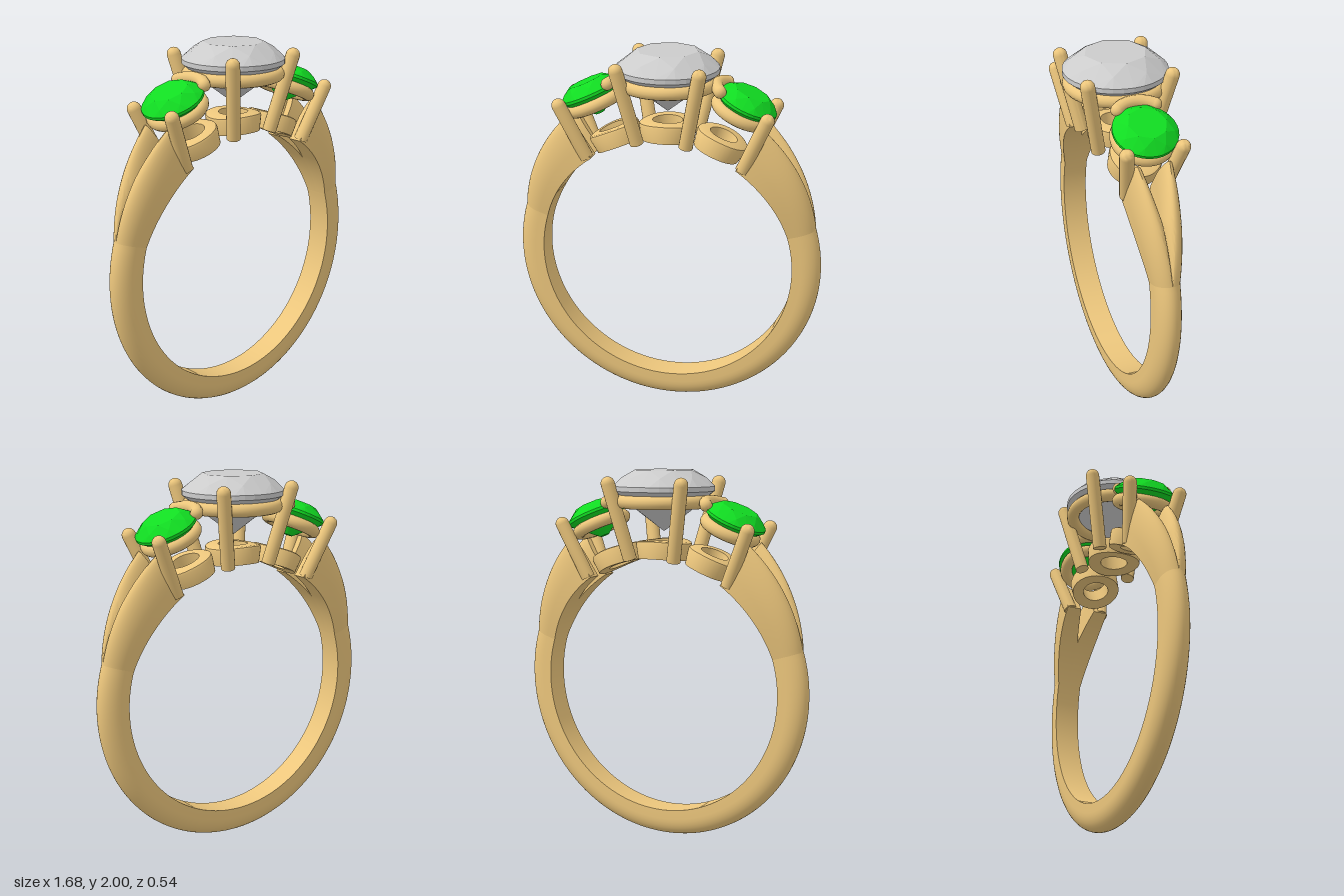
import * as THREE from 'three';
import { toCreasedNormals } from 'three/addons/utils/BufferGeometryUtils.js';
import { ConvexGeometry } from 'three/addons/geometries/ConvexGeometry.js';

const CY = 0.842, R_IN = 0.695, R_OUT = 0.842, HALF_W = 0.068;
const rad = THREE.MathUtils.degToRad, lerp = THREE.MathUtils.lerp;
const gold = new THREE.MeshStandardMaterial({ color: 0xecc67c });
const green = new THREE.MeshStandardMaterial({ color: 0x11dd22, flatShading: true });
const clear = new THREE.MeshStandardMaterial({ color: 0xcccccc, flatShading: true });

function add(parent, name, geometry, material = gold) {
  const mesh = new THREE.Mesh(geometry, material);
  mesh.name = name;
  parent.add(mesh);
  return mesh;
}

// Sweep a closed (radius, z) section around the finger hole, capped at both ends
function sweep(section, a0, a1, steps) {
  const pos = [], idx = [];
  let n = 0;
  for (let i = 0; i <= steps; i++) {
    const t = i / steps, a = lerp(a0, a1, t), loop = section(t);
    n = loop.length;
    const mid = loop.reduce((m, p) => [m[0] + p[0] / n, m[1] + p[1] / n], [0, 0]);
    for (const [r, z] of [...loop, mid]) pos.push(r * Math.cos(a), CY + r * Math.sin(a), z);
  }
  const w = n + 1;
  for (let j = 0; j < n; j++) {
    const k = (j + 1) % n, e = steps * w;
    for (let i = 0; i < steps; i++) {
      const p = i * w, q = p + w;
      idx.push(p + j, q + j, q + k, p + j, q + k, p + k);
    }
    idx.push(n, j, k, e + n, e + k, e + j);
  }
  const g = new THREE.BufferGeometry();
  g.setAttribute('position', new THREE.Float32BufferAttribute(pos, 3));
  g.setIndex(idx);
  return toCreasedNormals(g, rad(35));
}

// Flat inside, domed outside; the dome's crest sits at z = crest
function domeSection(z0, z1, crest, top, side0, side1) {
  const pts = [[R_IN, z1], [R_IN, z0]], N = 8;
  for (let i = 0; i <= N; i++) {
    const a = (i / N) * Math.PI / 2;
    pts.push([lerp(side0, top, Math.sin(a)), lerp(crest, z0, Math.cos(a))]);
  }
  for (let i = 1; i <= N; i++) {
    const a = (i / N) * Math.PI / 2;
    pts.push([lerp(side1, top, Math.cos(a)), lerp(crest, z1, Math.sin(a))]);
  }
  return pts;
}

// One of the two shoulder arms, widening and parting towards the top
function shoulderSection(t, s) {
  const z0 = Math.max(0, t - 0.55) * 0.09;
  const z1 = lerp(HALF_W, 0.122, Math.sin(t * Math.PI / 2));
  const crest = 0.083 * t, top = lerp(R_OUT, 0.95, t);
  const loop = domeSection(z0, z1, crest, top, lerp(R_OUT, 0.8, t), lerp(0.745, 0.78, t));
  return s > 0 ? loop : loop.map(([r, z]) => [r, -z]).reverse();
}

// Round-topped rod between two points
function prong(parent, name, from, to, r = 0.037) {
  const a = new THREE.Vector3(...from), d = new THREE.Vector3(...to).sub(a), len = d.length();
  const pts = [[0, 0], [r, 0], [r, len]].map(p => new THREE.Vector2(...p));
  for (let i = 1; i <= 6; i++) {
    const u = (i / 6) * Math.PI / 2;
    pts.push(new THREE.Vector2(i === 6 ? 0 : r * Math.cos(u), len + r * Math.sin(u)));
  }
  const mesh = add(parent, name, toCreasedNormals(new THREE.LatheGeometry(pts, 18), rad(40)));
  mesh.position.copy(a);
  mesh.quaternion.setFromUnitVectors(new THREE.Vector3(0, 1, 0), d.normalize());
}

// Round brilliant cut with its girdle at y = 0
function brilliant(r, crown, girdle, pavilion, culet) {
  const pts = [];
  const ring = (n, radius, y, shift = 0) => {
    for (let i = 0; i < n; i++) {
      const a = (i + shift) / n * Math.PI * 2;
      pts.push(new THREE.Vector3(radius * Math.sin(a), y, radius * Math.cos(a)));
    }
  };
  ring(8, r * 0.6, crown);
  ring(8, r * 0.84, crown * 0.52, 0.5);
  ring(32, r, 0);
  ring(32, r, -girdle);
  ring(8, r * 0.5, -girdle - pavilion * 0.53, 0.5);
  ring(8, culet, -girdle - pavilion);
  return new ConvexGeometry(pts);
}

// Pierced base disc bent to follow the finger hole, at an angle from the top
function baseDisc(outer, hole, angle) {
  const h0 = R_IN, h1 = 0.79, b = 0.015;
  const pts = [[hole, h1], [hole, h0], [outer, h0], [outer, h1 - b], [outer - b * 0.3, h1 - b * 0.3],
    [outer - b, h1], [hole, h1]].map(p => new THREE.Vector2(...p));
  const g = new THREE.LatheGeometry(pts, 40), p = g.attributes.position;
  for (let i = 0; i < p.count; i++) {
    const a = angle + p.getX(i) / 0.74, r = p.getY(i);
    p.setXYZ(i, r * Math.sin(a), CY + r * Math.cos(a), p.getZ(i));
  }
  return toCreasedNormals(g, rad(35));
}

const rail = (major, tube) => new THREE.TorusGeometry(major, tube, 14, 56).rotateX(Math.PI / 2);

function createSide() {
  const side = new THREE.Group();
  // Split shoulder
  for (const s of [1, -1])
    add(side, 'shoulderArm', sweep(t => shoulderSection(t, s), rad(17), rad(56), 28));
  add(side, 'sideBaseDisc', baseDisc(0.135, 0.072, rad(22.5)));
  for (const s of [1, -1])
    prong(side, 'sideProng', [0.42, 1.415, 0.095 * s], [0.55, 1.705, 0.145 * s]);

  // Tilted stone with its rail and the curved clip on its inner edge
  const head = new THREE.Group();
  head.name = 'sideSetting';
  head.position.set(0.422, 1.757, 0);
  head.rotation.z = rad(-24);
  side.add(head);
  add(head, 'sideStone', brilliant(0.165, 0.055, 0.015, 0.115, 0.025), green);
  add(head, 'sideRail', rail(0.132, 0.034)).position.set(-0.006, -0.068, 0);
  const clip = new THREE.Group();
  clip.name = 'innerClip';
  clip.position.set(-0.018, 0.012, 0);
  head.add(clip);
  const arc = rad(78), start = Math.PI - arc / 2;
  add(clip, 'clipBar', new THREE.TorusGeometry(0.16, 0.033, 12, 24, arc)
    .rotateZ(start).rotateX(Math.PI / 2));
  for (const a of [start, start + arc])
    add(clip, 'clipEnd', new THREE.SphereGeometry(0.033, 14, 10))
      .position.set(0.16 * Math.cos(a), 0, 0.16 * Math.sin(a));
  return side;
}

export function createModel() {
  const ring = new THREE.Group();
  ring.name = 'threeStoneRing';

  // Plain lower band
  const band = domeSection(-HALF_W, HALF_W, 0, R_OUT, 0.745, 0.745);
  add(ring, 'band', sweep(() => band, rad(-197), rad(17), 110));

  // Matching shoulders and side stones
  for (const [name, turn] of [['leftSide', 0], ['rightSide', Math.PI]]) {
    const side = createSide();
    side.name = name;
    side.rotation.y = turn;
    ring.add(side);
  }

  // Centre setting
  const centre = new THREE.Group();
  centre.name = 'centreSetting';
  ring.add(centre);
  add(centre, 'centreStone', brilliant(0.27, 0.085, 0.025, 0.212, 0.004), clear).position.y = 1.915;
  add(centre, 'centreRail', rail(0.235, 0.035)).position.y = 1.835;
  add(centre, 'centreBaseDisc', baseDisc(0.145, 0.075, 0));
  for (const x of [1, -1]) for (const z of [1, -1])
    prong(centre, 'centreProng', [0.13 * x, 1.53, 0.14 * z], [0.215 * x, 1.93, 0.222 * z]);
  return ring;
}
